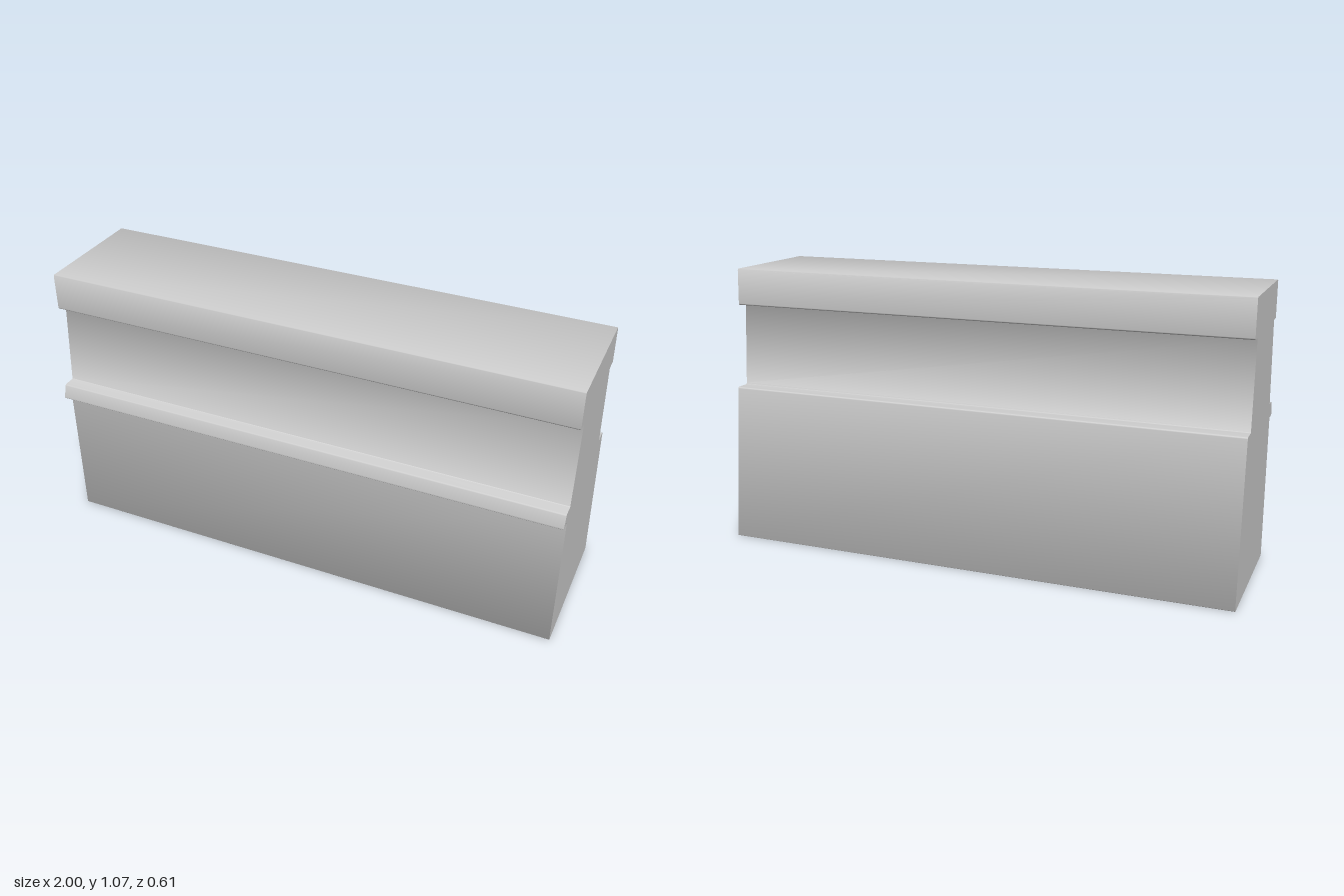
import * as THREE from 'three';
import { toCreasedNormals } from 'three/addons/utils/BufferGeometryUtils.js';

// Cross-section corners as [z, y]
const PROFILE = [
  [0.26, 0], [0.26, 0.549], [0.306, 0.549], [0.288, 0.604], // front wall and drip ledge
  [0.242, 0.604], [0.218, 0.926], [0.262, 0.926], [0.262, 1.068], // front neck and cap
  [-0.202, 1.068], [-0.208, 0.926], [-0.16, 0.926], [-0.185, 0.604], // back cap and neck
  [-0.244, 0.604], [-0.304, 0], // back shoulder and sloping wall
];

// Closed shape with every corner slightly rounded
function roundedShape(points, radius) {
  const shape = new THREE.Shape();
  const corners = points.map(([x, y]) => new THREE.Vector2(x, y));
  const n = corners.length;
  const toward = (a, b) => b.clone().sub(a).setLength(radius).add(a);
  corners.forEach((c, i) => {
    const start = toward(c, corners[(i + n - 1) % n]);
    const end = toward(c, corners[(i + 1) % n]);
    if (i === 0) shape.moveTo(start.x, start.y);
    else shape.lineTo(start.x, start.y);
    shape.quadraticCurveTo(c.x, c.y, end.x, end.y);
  });
  shape.closePath();
  return shape;
}

export function createModel() {
  const group = new THREE.Group();
  group.name = 'parapetBlock';

  // Extrude the section along the full length, then turn it to run along x
  const geometry = new THREE.ExtrudeGeometry(roundedShape(PROFILE, 0.006), {
    depth: 2, bevelEnabled: false, curveSegments: 3,
  });
  geometry.translate(0, 0, -1);
  geometry.rotateY(-Math.PI / 2);

  const block = new THREE.Mesh(
    toCreasedNormals(geometry, 0.9),
    new THREE.MeshStandardMaterial({ color: 0xcccccc })
  );
  block.name = 'mouldedWall';
  group.add(block);
  return group;
}
